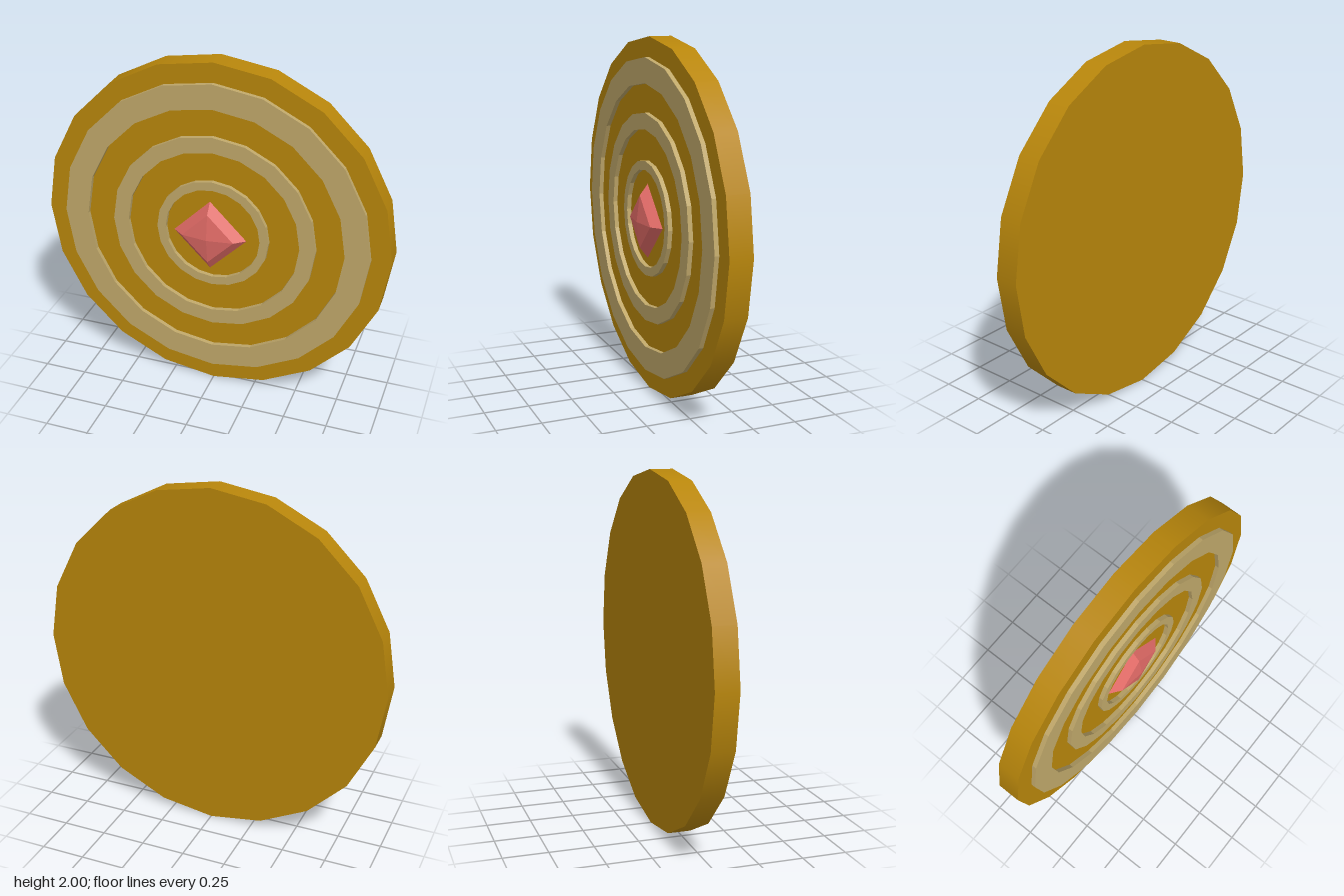
import * as THREE from 'three';

const SIDES = 20;

// Regular polygon with a corner on +x
function polygon(Type, radius) {
  const points = [];
  for (let i = 0; i < SIDES; i++) {
    const a = (i / SIDES) * Math.PI * 2;
    points.push(new THREE.Vector2(radius * Math.cos(a), radius * Math.sin(a)));
  }
  return new Type(points);
}

function addMesh(group, name, geometry, material, x, y, z) {
  const mesh = new THREE.Mesh(geometry, material);
  mesh.name = name;
  mesh.position.set(x, y, z);
  group.add(mesh);
  return mesh;
}

export function createModel() {
  const group = new THREE.Group();
  group.name = 'roundShield';
  const gold = new THREE.MeshStandardMaterial({ color: 0xb8860b });
  const sand = new THREE.MeshStandardMaterial({ color: 0xc0a86a });
  const red = new THREE.MeshStandardMaterial({ color: 0xe06a66, flatShading: true });

  // Thick disc standing on its rim
  const disc = new THREE.CylinderGeometry(1, 1, 0.13, SIDES).rotateX(Math.PI / 2);
  addMesh(group, 'disc', disc, gold, 0, 1, -0.035);

  // Raised concentric bands on the front
  const bands = [
    ['outerRing', 0.89, 0.75],
    ['middleRing', 0.59, 0.5],
    ['innerRing', 0.325, 0.275],
  ];
  for (const [name, outer, inner] of bands) {
    const shape = polygon(THREE.Shape, outer);
    shape.holes.push(polygon(THREE.Path, inner));
    const ring = new THREE.ExtrudeGeometry(shape, { depth: 0.035, bevelEnabled: false });
    addMesh(group, name, ring, sand, 0, 1, 0.02);
  }

  // Flattened four-sided gem, slightly off centre
  const gem = new THREE.SphereGeometry(0.212, 4, 4).rotateX(Math.PI / 2).scale(1, 1, 0.32);
  addMesh(group, 'gem', gem, red, -0.02, 0.98, 0.03);

  return group;
}
